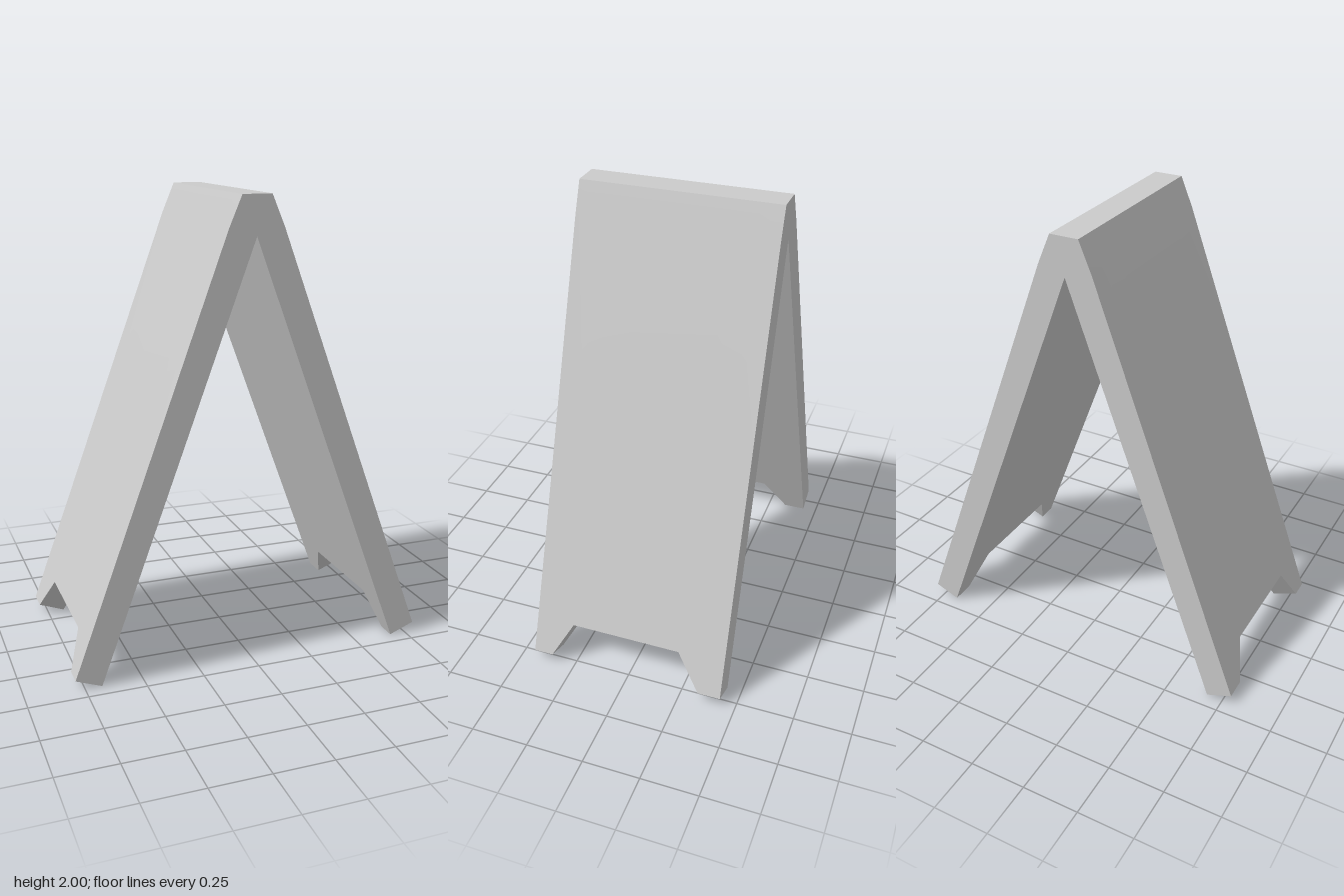
import * as THREE from 'three';
import { toCreasedNormals } from 'three/addons/utils/BufferGeometryUtils.js';

// Folded A-shaped section at one depth; lift slides the feet up along the slope.
function section(lift) {
  const dx = -0.056 * lift, dy = 0.154 * lift;
  const right = [
    [0.677 + dx, 0.002 + dy], // foot, inner corner
    [0.789 + dx, 0.045 + dy], // foot, outer corner
    [0.118, 1.87],            // slight bend below the top
    [0.063, 2],               // top edge
  ];
  const left = right.map(([x, y]) => [-x, y]).reverse();
  return [...right, ...left, [0, 1.835]].map(([x, y]) => new THREE.Vector2(x, y));
}

// Loft the section through depth stations [z, lift] and close both ends.
function loftBoard(stations) {
  const rings = stations.map(([z, lift]) =>
    section(lift).map((p) => new THREE.Vector3(p.x, p.y, z)));
  const positions = [];
  const tri = (...pts) => pts.forEach((p) => positions.push(p.x, p.y, p.z));
  const n = rings[0].length;

  for (let s = 0; s < rings.length - 1; s++) {
    for (let i = 0; i < n; i++) {
      const j = (i + 1) % n;
      const a = rings[s][i], b = rings[s][j], c = rings[s + 1][j], d = rings[s + 1][i];
      tri(a, b, c);
      tri(a, c, d);
    }
  }

  const back = rings[0], front = rings[rings.length - 1];
  for (const [i, j, k] of THREE.ShapeUtils.triangulateShape(section(0), [])) {
    tri(front[i], front[j], front[k]);
    tri(back[k], back[j], back[i]);
  }

  const geometry = new THREE.BufferGeometry();
  geometry.setAttribute('position', new THREE.Float32BufferAttribute(positions, 3));
  return toCreasedNormals(geometry, 0.3);
}

export function createModel() {
  const group = new THREE.Group();
  group.name = 'sandwichBoard';

  // Two sloping panels joined at the top, with a cut-out between the feet
  const board = new THREE.Mesh(
    loftBoard([[-0.435, 0], [-0.335, 0], [-0.228, 1], [0.262, 1], [0.35, 0], [0.435, 0]]),
    new THREE.MeshStandardMaterial({ color: 0xcccccc }),
  );
  board.name = 'foldedBoard';
  group.add(board);
  return group;
}
